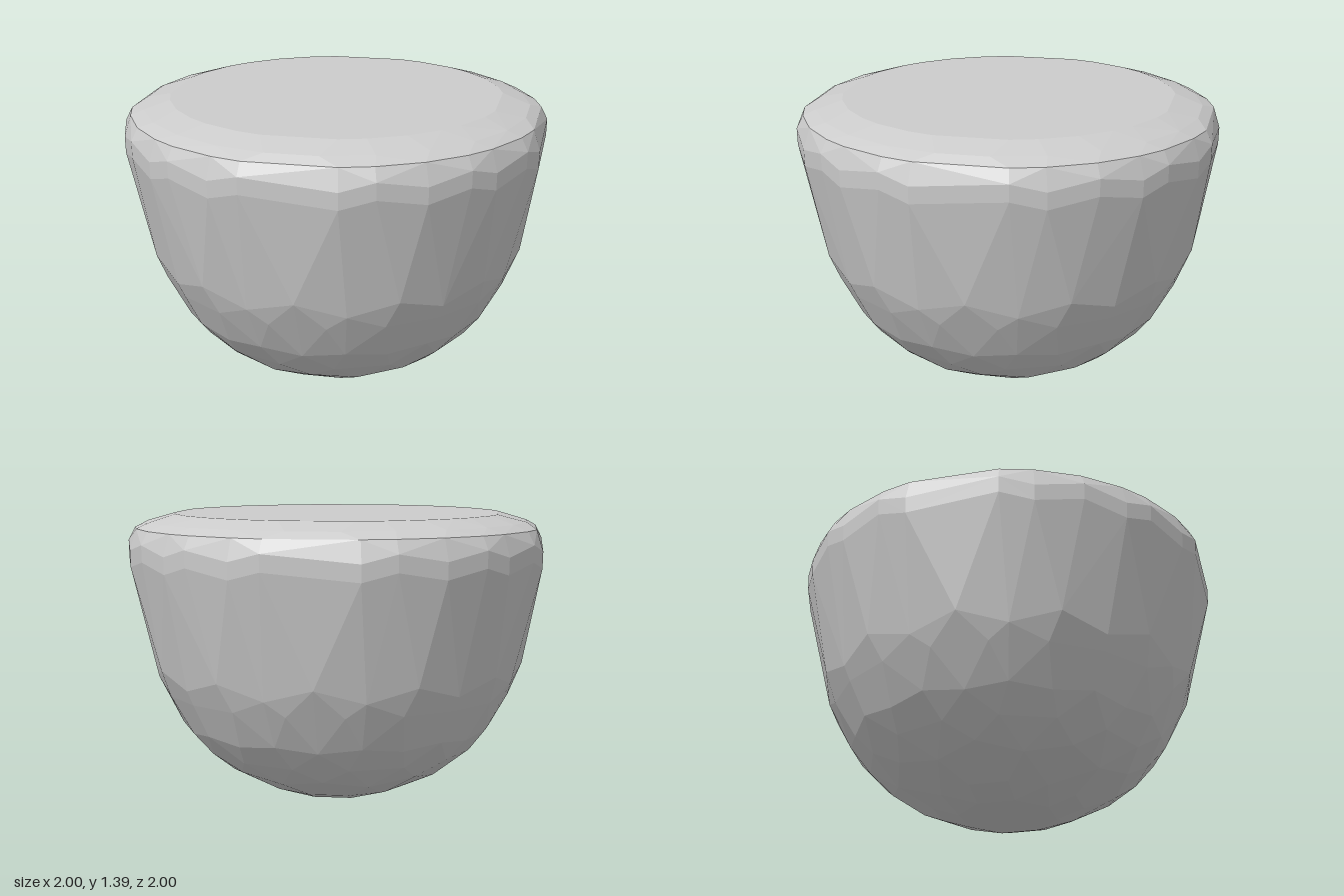
import * as THREE from 'three';
import { ConvexGeometry } from 'three/addons/geometries/ConvexGeometry.js';

// Vertex angles (degrees) in one quarter of the rim, repeated four times
const RIM = [12.4, 21.5, 34.6, 47, 55.4, 69, 77.6];

function rimAngles() {
  return [0, 90, 180, 270].flatMap((q) => RIM.map((a) => q + a));
}

function evenAngles(count, phase) {
  return Array.from({ length: count }, (_, i) => ((i + phase) * 360) / count);
}

// Places points round the y axis; every second one uses the alternate radius and height
function addRing(points, angles, [r, y], [r2, y2] = [r, y]) {
  angles.forEach((deg, i) => {
    const a = THREE.MathUtils.degToRad(deg);
    const [radius, height] = i % 2 ? [r2, y2] : [r, y];
    points.push(new THREE.Vector3(radius * Math.sin(a), height, radius * Math.cos(a)));
  });
}

export function createModel() {
  const group = new THREE.Group();
  const points = [];

  // Rounded, irregularly faceted underside
  addRing(points, evenAngles(8, 0.5), [0.238, 0]);
  addRing(points, evenAngles(12, 0.5), [0.365, 0.045]);
  addRing(points, evenAngles(16, 0), [0.585, 0.163], [0.53, 0.125]);
  addRing(points, evenAngles(16, 0.5), [0.675, 0.24]);
  addRing(points, evenAngles(24, 0), [0.755, 0.337], [0.772, 0.36]);
  addRing(points, evenAngles(20, 0.5), [0.855, 0.52]);
  addRing(points, evenAngles(24, 0), [0.912, 0.655], [0.888, 0.59]);

  // Steep side walls and upright band
  const rim = rimAngles();
  addRing(points, rim, [1.022, 1.14], [1.022, 1.18]);
  addRing(points, rim, [1.024, 1.22], [1.024, 1.26]);

  // Bevelled shoulder and flat top
  addRing(points, rim, [0.992, 1.322]);
  addRing(points, evenAngles(24, 0.5), [0.93, 1.352]);
  addRing(points, rim, [0.803, 1.39]);

  const bowl = new THREE.Mesh(
    new ConvexGeometry(points),
    new THREE.MeshStandardMaterial({ color: 0xcccccc, flatShading: true })
  );
  bowl.name = 'facetedBowl';
  group.add(bowl);
  return group;
}
